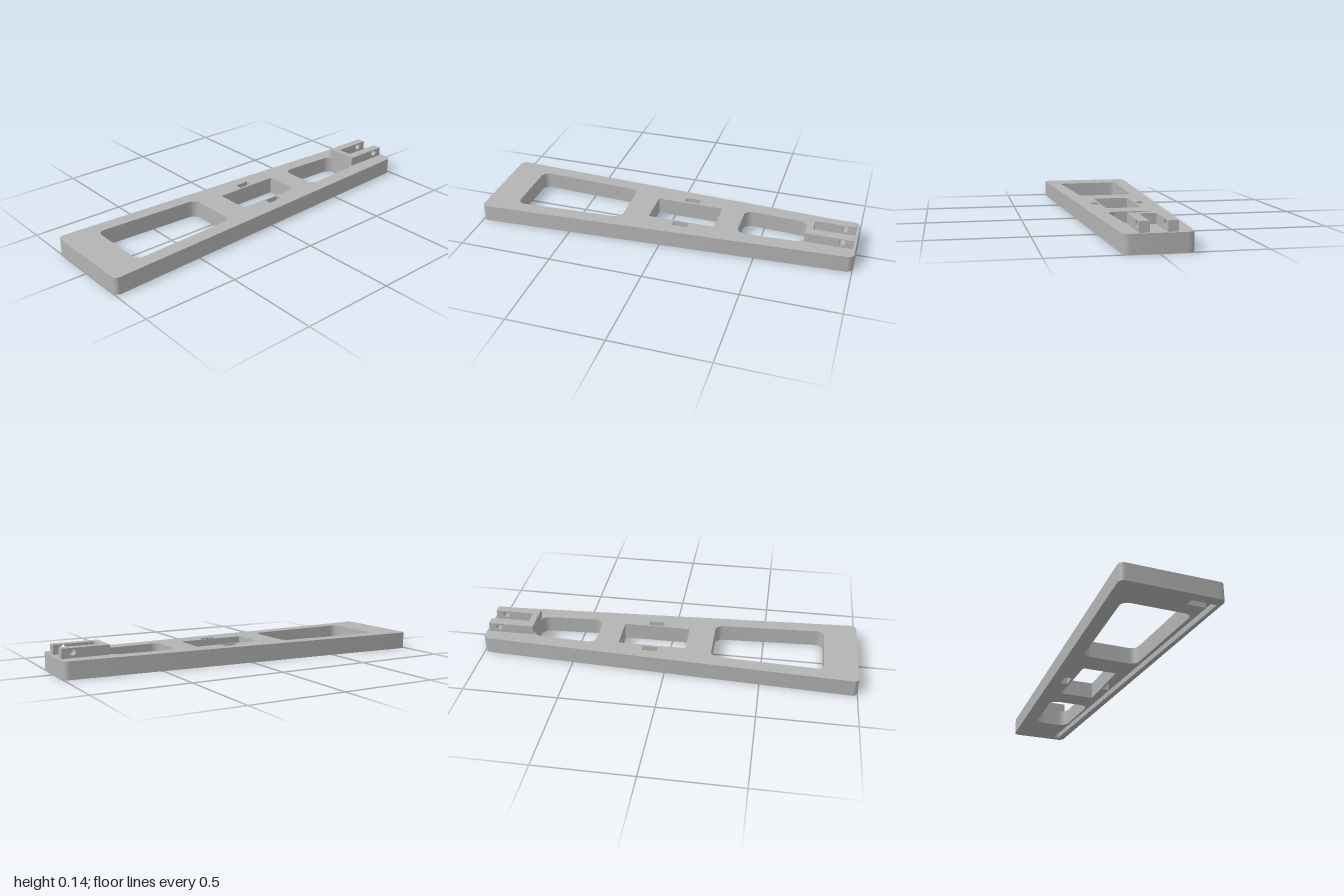
import * as THREE from 'three';
import { toCreasedNormals } from 'three/addons/utils/BufferGeometryUtils.js';

// Closed outline through [x, z] corners, each rounded by r
function outline(points, r = 0, Type = THREE.Path) {
  const path = new Type();
  const pts = points.map(([x, z]) => new THREE.Vector2(x, z));
  const toward = (a, b, d) => a.clone().add(b.clone().sub(a).setLength(d));
  pts.forEach((p, i) => {
    const prev = pts[(i + pts.length - 1) % pts.length];
    const next = pts[(i + 1) % pts.length];
    const a = r ? toward(p, prev, r) : p;
    if (i === 0) path.moveTo(a.x, a.y); else path.lineTo(a.x, a.y);
    if (r) {
      const b = toward(p, next, r);
      const c1 = toward(p, prev, r * 0.45), c2 = toward(p, next, r * 0.45);
      path.bezierCurveTo(c1.x, c1.y, c2.x, c2.y, b.x, b.y);
    }
  });
  path.closePath();
  return path;
}

// Four corners of a trapezoid, half widths w0 at z0 and w1 at z1
const trapezoid = (z0, w0, z1, w1) => [[-w0, z0], [w0, z0], [w1, z1], [-w1, z1]];
const rect = (x0, x1, z0, z1) => [[x0, z0], [x1, z0], [x1, z1], [x0, z1]];

export function createModel() {
  const group = new THREE.Group();
  const grey = new THREE.MeshStandardMaterial({ color: 0xb3b3b3 });
  grey.name = 'grey';

  const add = (name, geometry) => {
    const mesh = new THREE.Mesh(toCreasedNormals(geometry, 0.6), grey);
    mesh.name = name;
    group.add(mesh);
    return mesh;
  };

  const grooveDepth = 0.03, plateTop = 0.09;

  // Tapered plate, cut as two layers so the groove is open only below
  function plateLayer(name, bottom, top, extraHole) {
    const shape = outline(trapezoid(-1, 0.16, 1, 0.26), 0.03, THREE.Shape);
    shape.holes.push(
      outline(trapezoid(-0.74, 0.094, -0.39, 0.112), 0.045),
      outline(trapezoid(0.235, 0.147, 0.825, 0.176), 0.04),
      outline(rect(-0.094, 0.091, -0.265, 0.095)),
      outline(rect(-0.145, -0.107, -0.13, -0.05)),
      outline(extraHole)
    );
    const geometry = new THREE.ExtrudeGeometry(shape, { depth: top - bottom, bevelEnabled: false, curveSegments: 10 });
    geometry.rotateX(Math.PI / 2).translate(0, top, 0);
    add(name, geometry);
  }

  // Underside groove along the left edge, joined to the slot and an end pocket
  const inner = z => 0.15 + 0.06 * z;
  const outer = z => inner(z) + 0.03;
  const groove = [
    [inner(-0.96), -0.96], [outer(-0.96), -0.96], [outer(0.945), 0.945],
    [0.11, 0.945], [0.11, 0.905], [inner(0.905), 0.905],
    [inner(-0.05), -0.05], [0.1, -0.05], [0.1, -0.13], [inner(-0.13), -0.13]
  ];
  plateLayer('plateBottom', 0, grooveDepth, groove);
  plateLayer('plateTop', grooveDepth, plateTop, rect(0.1, 0.137, -0.13, -0.05));

  // Clevis bracket: two prongs with a cross pin hole, joined by a bridge
  const height = 0.05, prongWidth = 0.0465;
  const side = outline(rect(0.775, 0.985, 0, height), 0, THREE.Shape);
  const pinHole = new THREE.Path();
  pinHole.absarc(0.93, 0.03, 0.017, 0, Math.PI * 2);
  side.holes.push(pinHole);
  for (const [name, x] of [['rightProng', -0.0875], ['leftProng', 0.041]]) {
    const prong = new THREE.ExtrudeGeometry(side, { depth: prongWidth, bevelEnabled: false, curveSegments: 24 });
    prong.rotateY(Math.PI / 2).translate(x, plateTop, 0);
    add(name, prong);
  }
  const bridge = new THREE.BoxGeometry(0.175, height, 0.035);
  add('bracketBridge', bridge).position.set(0, plateTop + height / 2, -0.7575);

  return group;
}
